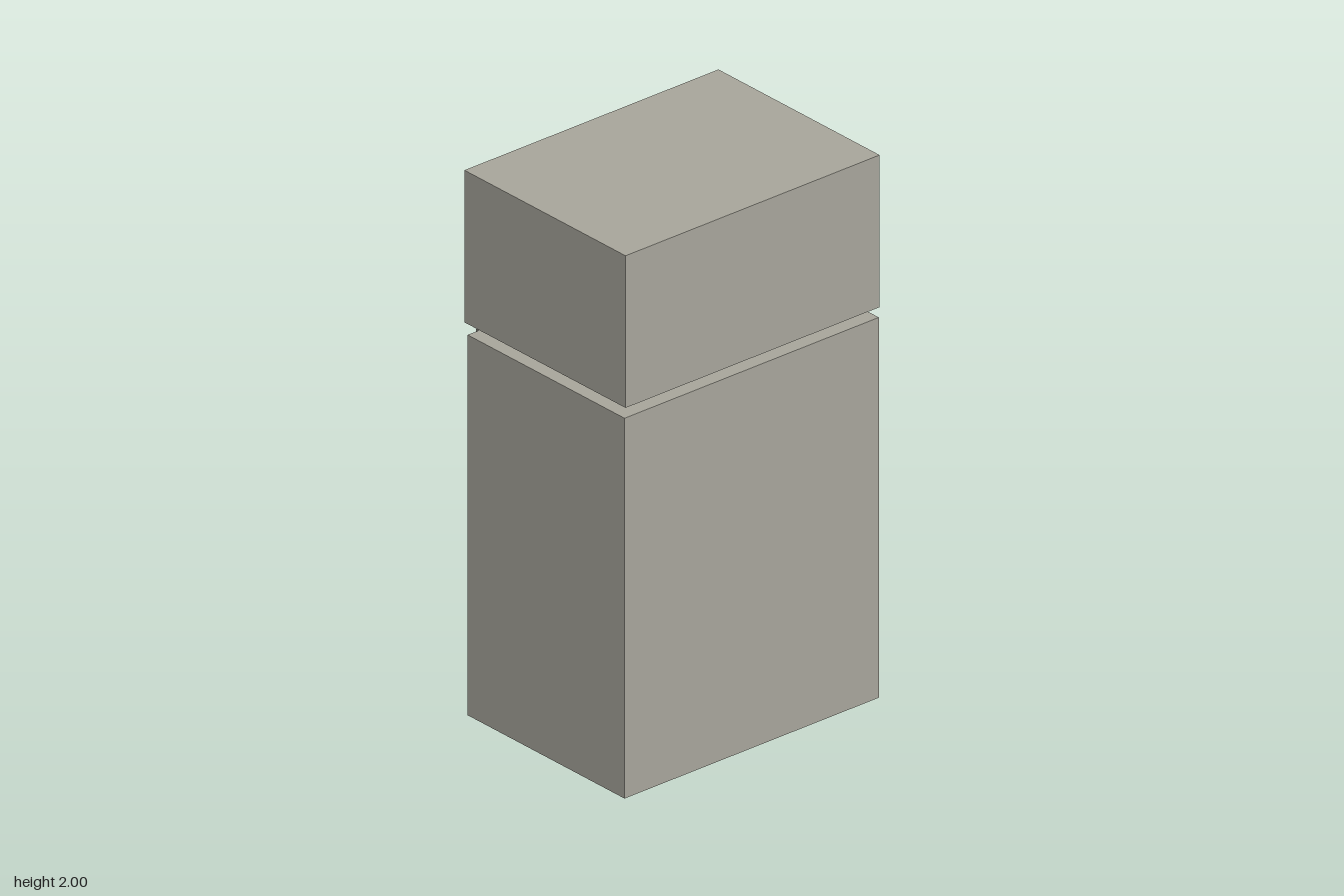
import * as THREE from 'three';

export function createModel() {
  const model = new THREE.Group();
  const grey = new THREE.MeshStandardMaterial({ color: 0xa6a49a });
  grey.name = 'warm grey';

  // Adds a box spanning the given [min, max] range on each axis
  function addBox(name, x, y, z) {
    const size = [x, y, z].map(([a, b]) => b - a);
    const mesh = new THREE.Mesh(new THREE.BoxGeometry(...size), grey);
    mesh.name = name;
    mesh.position.set(...[x, y, z].map(([a, b]) => (a + b) / 2));
    model.add(mesh);
  }

  // Stacked blocks joined by a recessed neck
  addBox('lowerBlock', [-0.381, 0.404], [0, 1.4], [-0.55, 0.549]);
  addBox('neck', [-0.381, 0.297], [1.4, 1.44], [-0.488, 0.482]);
  addBox('upperBlock', [-0.397, 0.409], [1.44, 2], [-0.549, 0.549]);

  // Raised panels on the right side
  addBox('lowerPanel', [-0.397, -0.381], [0.072, 1.399], [-0.503, 0.499]);
  addBox('upperPanel', [-0.411, -0.397], [1.472, 1.97], [-0.505, 0.499]);

  return model;
}
